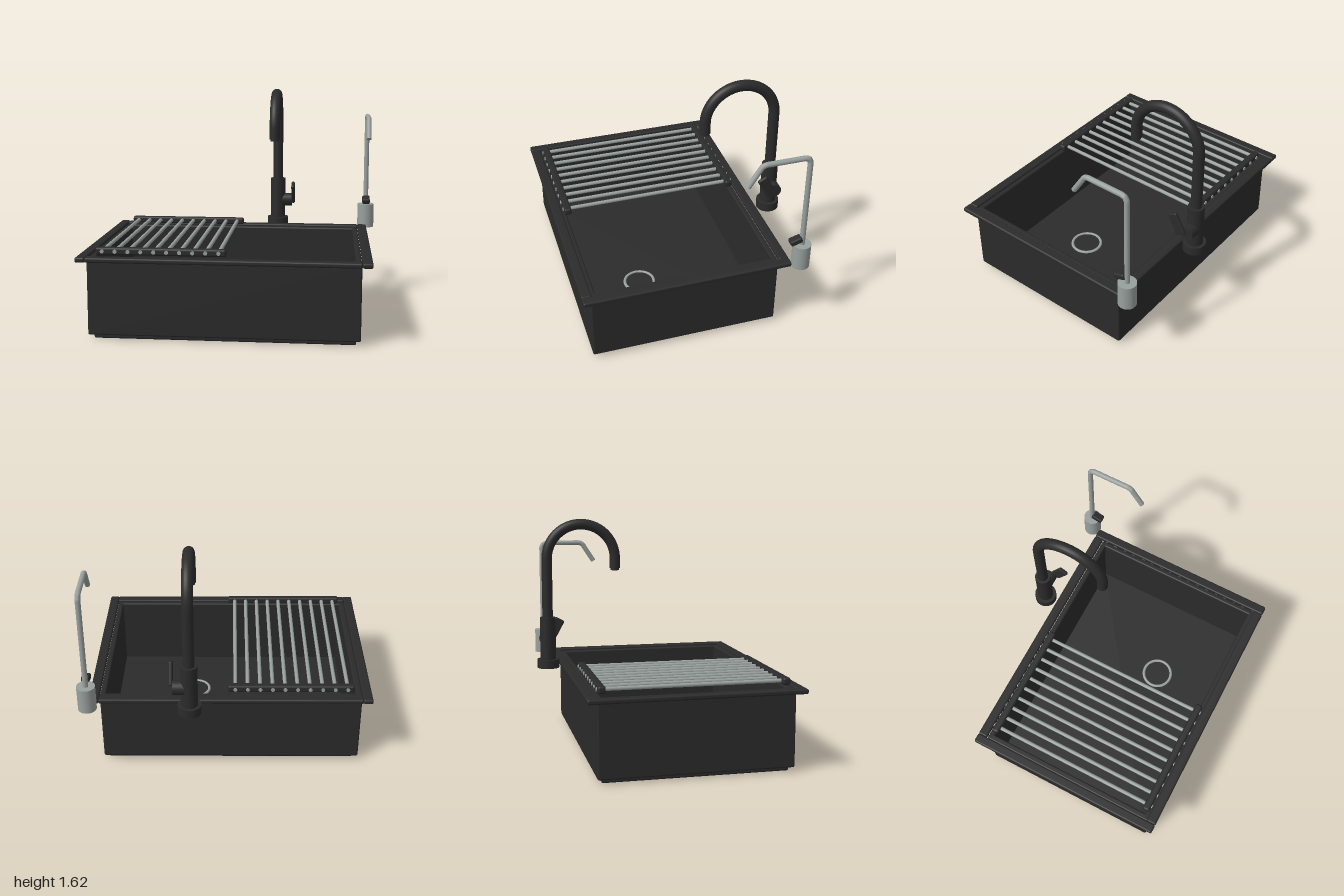
import * as THREE from 'three';
import { RoundedBoxGeometry } from 'three/addons/geometries/RoundedBoxGeometry.js';

const black = new THREE.MeshStandardMaterial({ color: 0x2b2b2b });
black.name = 'matte black';
const steel = new THREE.MeshStandardMaterial({ color: 0x98a09e });
steel.name = 'brushed steel';

function add(parent, name, geometry, material, x = 0, y = 0, z = 0) {
  const mesh = new THREE.Mesh(geometry, material);
  mesh.name = name;
  mesh.position.set(x, y, z);
  parent.add(mesh);
  return mesh;
}

// Rounded box given by its extents on each axis
function block(parent, name, [x0, x1], [y0, y1], [z0, z1], r = 0.012) {
  const g = new RoundedBoxGeometry(x1 - x0, y1 - y0, z1 - z0, 3, r);
  return add(parent, name, g, black, (x0 + x1) / 2, (y0 + y1) / 2, (z0 + z1) / 2);
}

// Upright cylinder from y0 to y1
function post(parent, name, r, y0, y1, material, x, z) {
  return add(parent, name, new THREE.CylinderGeometry(r, r, y1 - y0, 32), material, x, (y0 + y1) / 2, z);
}

// Path made of straight pieces in the yz plane
function polyPath(points) {
  const path = new THREE.CurvePath();
  const v = points.map(([y, z]) => new THREE.Vector3(0, y, z));
  for (let i = 1; i < v.length; i++) path.add(new THREE.LineCurve3(v[i - 1], v[i]));
  return path;
}

function group(parent, name) {
  const g = new THREE.Group();
  g.name = name;
  parent.add(g);
  return g;
}

function createBasin(model) {
  const basin = group(model, 'basin');
  const wallY = [0.03, 0.55];
  block(basin, 'floor', [-0.9, 0.84], [0, 0.045], [-0.535, 0.715]);
  block(basin, 'leftWall', [0.83, 0.87], wallY, [-0.565, 0.745]);
  block(basin, 'rightWall', [-0.935, -0.89], wallY, [-0.565, 0.745]);
  block(basin, 'frontWall', [-0.935, 0.87], wallY, [0.705, 0.745]);
  block(basin, 'backWall', [-0.935, 0.87], wallY, [-0.565, -0.525]);

  // Rim rails
  const rimY = [0.532, 0.566];
  block(basin, 'rightRim', [-1, -0.933], rimY, [-0.635, 0.805]);
  block(basin, 'leftRim', [0.87, 0.938], rimY, [-0.635, 0.805]);
  block(basin, 'frontRim', [-0.935, 0.872], rimY, [0.735, 0.805]);
  block(basin, 'backRim', [-0.935, 0.872], rimY, [-0.635, -0.567]);

  // Drain ring around a dark cover
  const ring = add(basin, 'drainRing', new THREE.TorusGeometry(0.107, 0.011, 10, 48), steel, 0.245, 0.047, 0.25);
  ring.rotation.x = Math.PI / 2;
  post(basin, 'drainCover', 0.1, 0.04, 0.049, black, 0.245, 0.25);
}

function createRack(model) {
  const rack = group(model, 'dryingRack');
  block(rack, 'frontRackRail', [-0.88, -0.01], [0.57, 0.62], [0.673, 0.725], 0.015);
  block(rack, 'backRackRail', [-0.88, -0.01], [0.57, 0.62], [-0.55, -0.498], 0.015);
  const rod = new THREE.CylinderGeometry(0.0135, 0.0135, 1.287, 12).rotateX(Math.PI / 2);
  for (let i = 0; i < 10; i++) add(rack, 'rackBar', rod, steel, -0.833 + i * 0.0858, 0.595, 0.0875);
}

function createFaucet(model) {
  const faucet = group(model, 'mainFaucet');
  faucet.position.set(0.245, 0, -0.73);
  post(faucet, 'faucetBase', 0.08, 0.54, 0.603, black, 0, 0);
  post(faucet, 'faucetBody', 0.057, 0.6, 0.91, black, 0, 0);

  // Riser, half-circle arch and short drop
  post(faucet, 'riser', 0.038, 0.9, 1.332, black, 0, 0);
  const arch = new THREE.TorusGeometry(0.25, 0.038, 20, 48, Math.PI).rotateY(Math.PI / 2);
  add(faucet, 'arch', arch, black, 0, 1.332, 0.25);
  post(faucet, 'drop', 0.038, 1.26, 1.332, black, 0, 0.5);
  post(faucet, 'nozzle', 0.031, 1.245, 1.27, black, 0, 0.5);

  // Side valve and forward-leaning lever
  const valve = new THREE.CylinderGeometry(0.05, 0.05, 0.08, 28).rotateZ(Math.PI / 2);
  add(faucet, 'valve', valve, black, 0.07, 0.74, -0.003);
  const lever = add(faucet, 'lever', new RoundedBoxGeometry(0.028, 0.165, 0.075, 3, 0.012), black, 0.123, 0.805, 0.067);
  lever.rotation.x = 0.5;
}

function createDispenser(model) {
  const tap = group(model, 'filterTap');
  tap.position.set(0.936, 0, -0.692);
  post(tap, 'tapBase', 0.063, 0.54, 0.72, steel, 0, 0);
  const path = polyPath([[0.71, 0], [1.375, 0], [1.4, 0.012], [1.408, 0.04], [1.408, 0.3], [1.398, 0.325], [1.262, 0.413]]);
  add(tap, 'tapSpout', new THREE.TubeGeometry(path, 120, 0.0185, 14), steel);

  // Spout end caps the tube
  const cap = add(tap, 'tapSpoutEnd', new THREE.CircleGeometry(0.0185, 14), steel, 0, 1.262, 0.413);
  cap.lookAt(new THREE.Vector3(0, 1.262 - 0.136, 0.413 + 0.088).add(tap.position));

  const knob = add(tap, 'tapLever', new RoundedBoxGeometry(0.058, 0.042, 0.085, 3, 0.012), black, 0, 0.757, 0.049);
  knob.rotation.x = 0.3;
}

export function createModel() {
  const model = new THREE.Group();
  model.name = 'kitchenSink';
  createBasin(model);
  createRack(model);
  createFaucet(model);
  createDispenser(model);
  return model;
}
